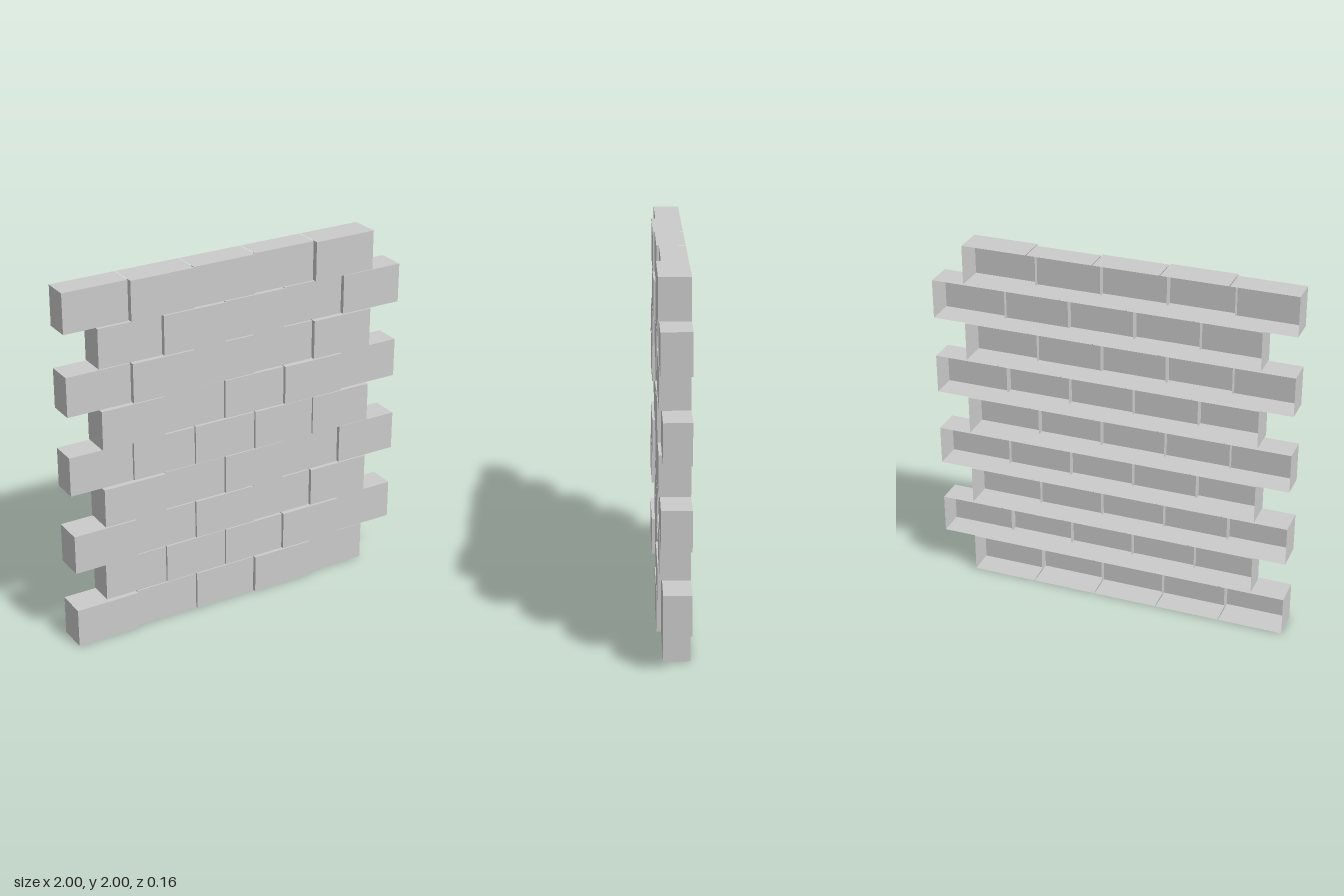
import * as THREE from 'three';
import { mergeGeometries } from 'three/addons/utils/BufferGeometryUtils.js';

const PITCH_X = 2 / 5.5, PITCH_Y = 2 / 9, GAP = 0.005;
const BACK = -0.082, RIB = 0.04;

// Front depth of every brick, bottom course first
const FRONTS = [
  [0.081, 0.063, 0.068, 0.082, 0.058],
  [0.062, 0.066, 0.069, 0.08, 0.062],
  [0.081, 0.063, 0.069, 0.06, 0.074],
  [0.08, 0.062, 0.069, 0.058, 0.072],
  [0.06, 0.066, 0.069, 0.074, 0.078],
  [0.08, 0.062, 0.068, 0.08, 0.062],
  [0.062, 0.081, 0.07, 0.058, 0.076],
  [0.064, 0.08, 0.069, 0.056, 0.074],
  [0.057, 0.079, 0.069, 0.056, 0.08],
];

// Open-backed brick shell; inner side walls are shallow ribs, course ends are full depth
function brickGeometry(front, leftFull, rightFull) {
  const w = PITCH_X - GAP, h = PITCH_Y - GAP;
  const depth = front - BACK, mid = (front + BACK) / 2;
  const side = (sign, full) => {
    const back = full ? BACK : RIB;
    return new THREE.PlaneGeometry(front - back, h)
      .rotateY(sign * Math.PI / 2)
      .translate(sign * w / 2, 0, (front + back) / 2);
  };
  return mergeGeometries([
    new THREE.PlaneGeometry(w, h).translate(0, 0, front),
    new THREE.PlaneGeometry(w, depth).rotateX(-Math.PI / 2).translate(0, h / 2, mid),
    new THREE.PlaneGeometry(w, depth).rotateX(Math.PI / 2).translate(0, -h / 2, mid),
    side(-1, rightFull),
    side(1, leftFull),
  ]);
}

export function createModel() {
  const wall = new THREE.Group();
  wall.name = 'brickWall';
  const material = new THREE.MeshStandardMaterial({ color: 0xcccccc, side: THREE.DoubleSide });

  // Courses alternate by half a brick
  FRONTS.forEach((fronts, row) => {
    const course = new THREE.Group();
    course.name = `course${row + 1}`;
    course.position.y = (row + 0.5) * PITCH_Y;
    const start = -1 + (row % 2) * PITCH_X / 2;
    fronts.forEach((front, i) => {
      const brick = new THREE.Mesh(brickGeometry(front, i === 4, i === 0), material);
      brick.name = `brick${i + 1}`;
      brick.position.x = start + (i + 0.5) * PITCH_X;
      course.add(brick);
    });
    wall.add(course);
  });
  return wall;
}
